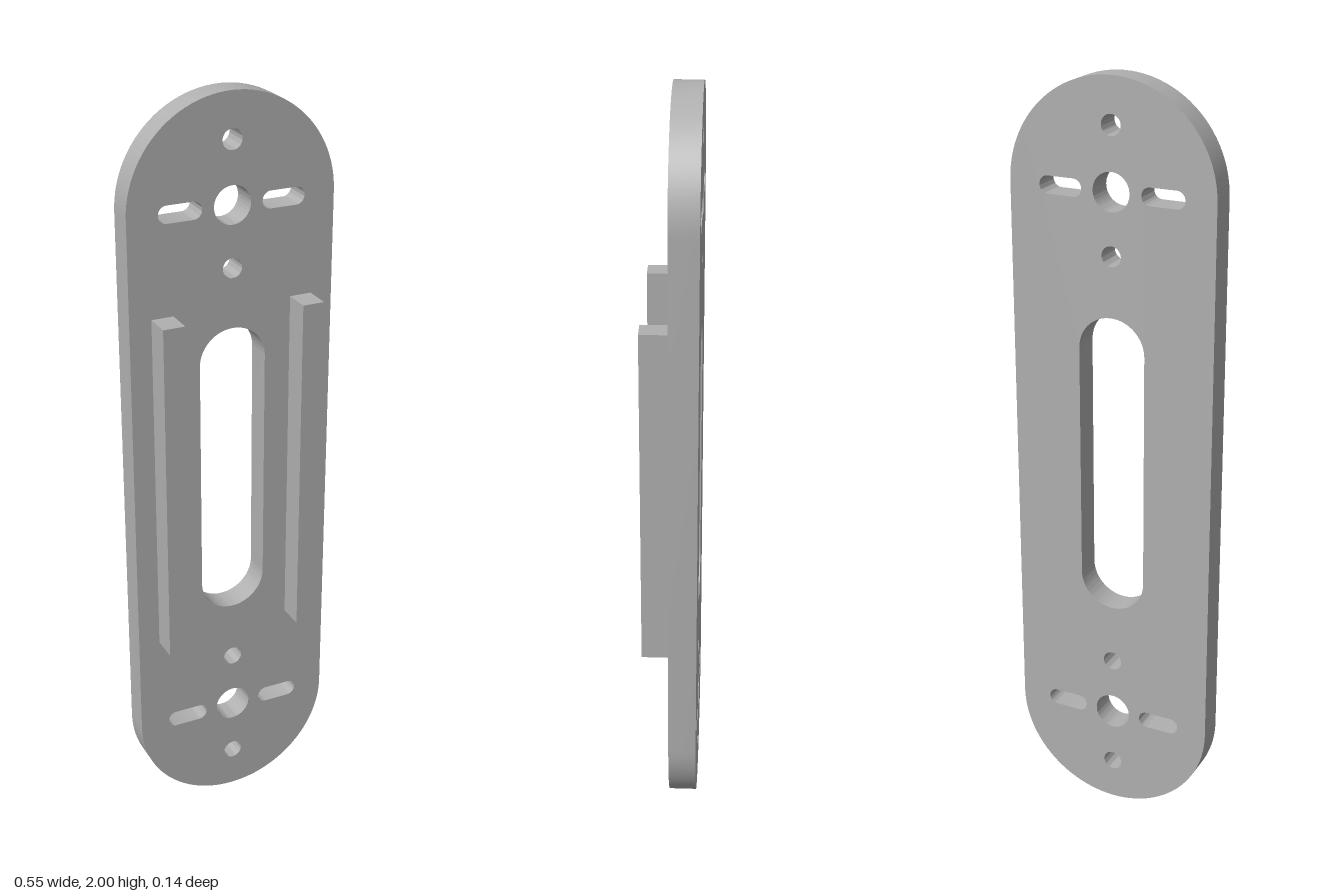
import * as THREE from 'three';
import { toCreasedNormals } from 'three/addons/utils/BufferGeometryUtils.js';

const THICKNESS = 0.073;

// Round-ended outline centred on (x, y); w and h are the full sizes
function stadium(path, x, y, w, h) {
  const r = Math.min(w, h) / 2;
  const dx = w / 2 - r, dy = h / 2 - r;
  if (dx > 0) {
    path.absarc(x + dx, y, r, -Math.PI / 2, Math.PI / 2, false);
    path.absarc(x - dx, y, r, Math.PI / 2, Math.PI * 1.5, false);
  } else {
    path.absarc(x, y + dy, r, 0, Math.PI, false);
    path.absarc(x, y - dy, r, Math.PI, Math.PI * 2, false);
  }
  path.closePath();
  return path;
}

export function createModel() {
  const group = new THREE.Group();
  group.name = 'mountingPlate';
  const grey = new THREE.MeshStandardMaterial({ color: 0xb0b0b0 });
  grey.name = 'grey';

  // Plate outline with the long central opening
  const outline = stadium(new THREE.Shape(), 0, 1, 0.55, 2);
  const cut = (x, y, w, h) => outline.holes.push(stadium(new THREE.Path(), x, y, w, h));
  cut(0, 1.003, 0.18, 0.81);

  // Screw holes and slots, mirrored at both ends
  for (const end of [-1, 1]) {
    cut(0, 1 + end * 0.884, 0.052, 0.052);
    cut(0, 1 + end * 0.565, 0.052, 0.052);
    cut(0, 1 + end * 0.724, 0.098, 0.098);
    for (const side of [-1, 1]) cut(side * 0.137, 1 + end * 0.724, 0.114, 0.045);
  }

  const plateGeometry = new THREE.ExtrudeGeometry(outline, {
    depth: THICKNESS, bevelEnabled: false, curveSegments: 24,
  });
  plateGeometry.translate(0, 0, -THICKNESS);
  const plate = new THREE.Mesh(toCreasedNormals(plateGeometry, 0.6), grey);
  plate.name = 'plate';
  group.add(plate);

  // Two upright rails on the front face
  for (const side of [-1, 1]) {
    const rail = new THREE.Mesh(new THREE.BoxGeometry(0.058, 0.926, 0.072), grey);
    rail.name = side > 0 ? 'leftRail' : 'rightRail';
    rail.position.set(side * 0.188, 1.003, 0.036);
    group.add(rail);
  }
  return group;
}
